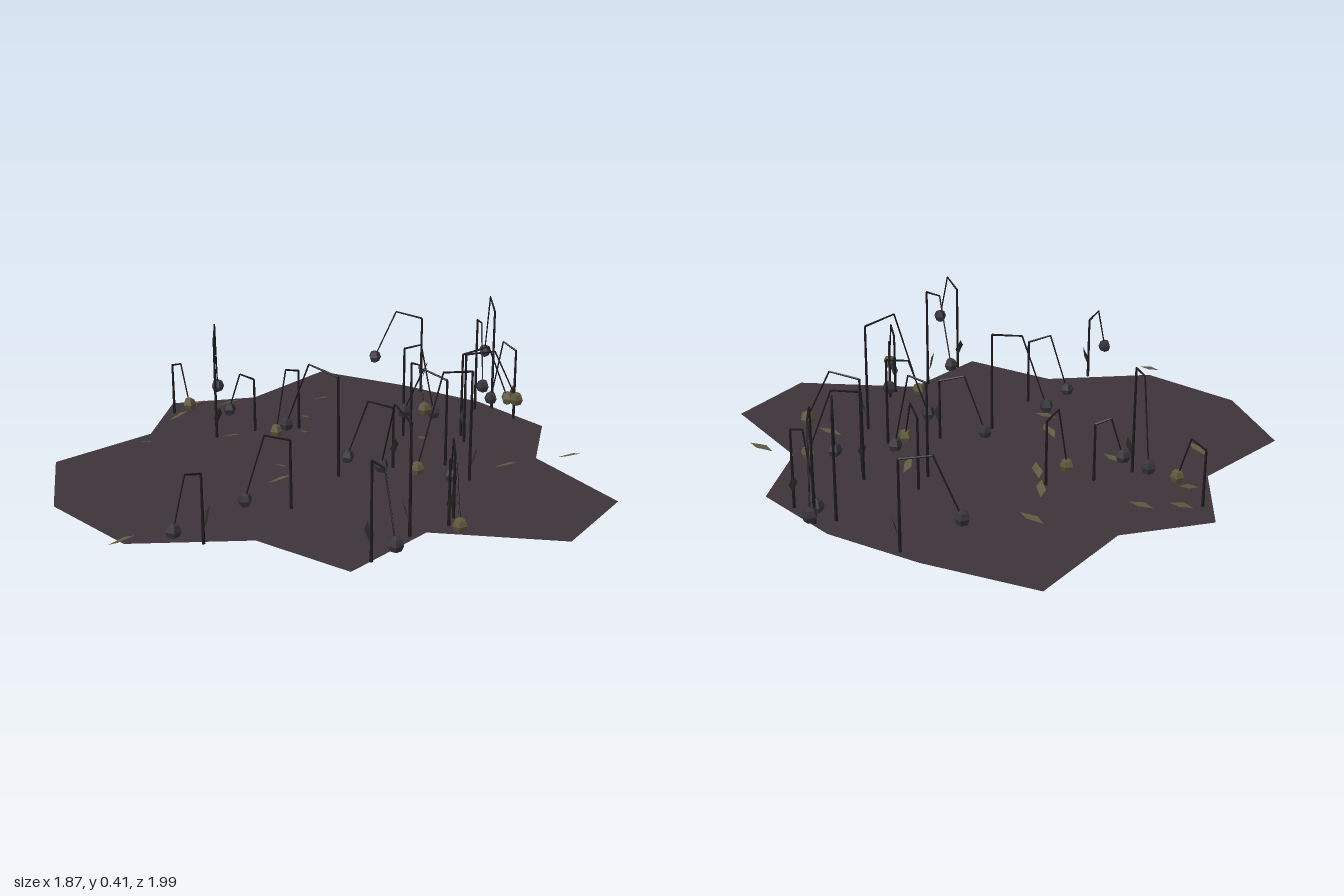
import * as THREE from 'three';

const mat = (name, color, extra = {}) => {
  const m = new THREE.MeshStandardMaterial({ color, flatShading: true, ...extra });
  m.name = name;
  return m;
};

// Outline of the soil patch as x, z pairs
const OUTLINE = [
  [-0.78, -0.68], [-0.4, -0.78], [-0.06, -0.825], [0.28, -0.77], [0.45, -0.49], [0.87, -0.36],
  [0.93, 0], [0.56, 0.25], [0.57, 0.61], [0.21, 0.65], [-0.07, 0.94], [-0.46, 0.915],
  [-0.77, 0.68], [-0.74, 0.275], [-0.935, 0], [-0.75, -0.265],
];

// Drooping plants: base x, z, stem height, bulb x, y, z
const DARK_PLANTS = [
  [0.02, -0.8, 0.39, -0.156, 0.155, -0.98],
  [0.15, -0.765, 0.27, 0.03, 0.05, -0.78],
  [-0.02, -0.746, 0.36, 0.113, 0.16, -0.614],
  [-0.31, -0.767, 0.305, -0.478, 0.132, -0.677],
  [-0.03, -0.33, 0.34, 0.07, 0.11, -0.38],
  [0.145, -0.07, 0.225, 0.013, 0.04, 0.02],
  [0.555, 0.11, 0.225, 0.463, 0.095, 0.01],
  [0.54, 0.308, 0.375, 0.34, 0.155, 0.215],
  [0.26, -0.215, 0.315, 0.08, 0.165, -0.203],
  [0.57, 0.52, 0.325, 0.752, 0.152, 0.623],
  [0.125, 0.41, 0.24, 0.03, 0.042, 0.525],
  [0.11, 0.775, 0.232, 0.12, 0.09, 0.9],
  [0.06, 0.115, 0.363, -0.166, 0.147, 0.137],
  [-0.53, 0.137, 0.375, -0.693, 0.125, -0.02],
  [-0.47, 0, 0.205, -0.54, 0.09, 0.062],
];
const OLIVE_PLANTS = [
  [0.12, -0.48, 0.315, 0.21, 0.13, -0.638],
  [0.168, -0.437, 0.335, 0.329, 0.183, -0.527],
  [-0.07, -0.42, 0.255, 0.06, 0.13, -0.34],
  [0.405, -0.165, 0.392, 0.357, 0.1, 0.055],
  [-0.37, -0.13, 0.23, -0.365, 0.03, -0.007],
  [0.58, 0.165, 0.225, 0.696, 0.07, 0.257],
  [-0.845, 0.07, 0.195, -0.737, 0.068, 0.085],
];

// Loose leaves: x, z, turn in degrees
const LEAVES = [
  [0.55, -0.545, 25], [-0.505, -0.38, 15], [0.45, -0.31, 30], [0.06, -0.33, -70],
  [-0.4, -0.195, -55], [-0.72, -0.095, 40], [-0.3, -0.085, -45], [-0.76, 0.12, 70],
  [-0.455, 0.14, 15], [-0.13, 0.205, -25], [-0.04, 0.3, 50], [-0.63, 0.39, -10],
  [-0.06, 0.955, 55], [-0.815, -0.01, 45],
];

export function createModel() {
  const model = new THREE.Group();
  const soil = mat('soil', 0x3e343b, { side: THREE.DoubleSide });
  const stemMat = mat('stem', 0x1c191c);
  const darkBulb = mat('dark bulb', 0x36343a);
  const oliveBulb = mat('olive bulb', 0x5e563c);
  const leafMat = mat('leaf', 0x5e5a40, { side: THREE.DoubleSide });
  const darkLeaf = mat('stem leaf', 0x2c2b26, { side: THREE.DoubleSide });

  const add = (parent, name, geo, material) => {
    const mesh = new THREE.Mesh(geo, material);
    mesh.name = name;
    parent.add(mesh);
    return mesh;
  };

  // Soil patch: a very low cone over the ragged outline
  const fan = [];
  OUTLINE.forEach(([x, z], i) => {
    const [nx, nz] = OUTLINE[(i + 1) % OUTLINE.length];
    fan.push(0, 0.008, 0, nx, 0, nz, x, 0, z);
  });
  const soilGeo = new THREE.BufferGeometry();
  soilGeo.setAttribute('position', new THREE.Float32BufferAttribute(fan, 3));
  soilGeo.computeVertexNormals();
  add(model, 'soilPatch', soilGeo, soil);

  // Skewed, slightly folded diamond leaf lying along x
  const leafGeo = new THREE.BufferGeometry();
  leafGeo.setAttribute('position', new THREE.Float32BufferAttribute([
    -0.042, -0.006, 0, -0.012, 0.003, 0.017, 0.042, 0.008, 0,
    -0.042, -0.006, 0, 0.042, 0.008, 0, 0.012, 0.003, -0.017], 3));
  leafGeo.computeVertexNormals();

  // Straight thin rod between two points
  const rod = (parent, name, a, b, r0, r1) => {
    const dir = b.clone().sub(a);
    const mesh = add(parent, name, new THREE.CylinderGeometry(r1, r0, dir.length(), 5), stemMat);
    mesh.position.copy(a).add(b).multiplyScalar(0.5);
    mesh.quaternion.setFromUnitVectors(new THREE.Vector3(0, 1, 0), dir.normalize());
  };

  const bulbGeo = new THREE.SphereGeometry(0.025, 5, 4);
  const plant = ([x, z, h, bx, by, bz], bulbMat, i) => {
    const g = new THREE.Group();
    g.name = 'droopingPlant';
    const base = new THREE.Vector3(x, 0, z);
    const top = new THREE.Vector3(x, h, z);
    const bulbPos = new THREE.Vector3(bx, by, bz);
    const kink = top.clone().lerp(bulbPos, 0.55).setY(h + 0.02);
    rod(g, 'stem', base, top, 0.0055, 0.004);
    rod(g, 'stemArm', top, kink, 0.004, 0.003);
    rod(g, 'hangingThread', kink, bulbPos, 0.003, 0.0025);
    const bulb = add(g, 'bulb', bulbGeo, bulbMat);
    bulb.position.copy(bulbPos);
    bulb.scale.y = 1.05;
    bulb.rotation.y = Math.atan2(bx - x, bz - z);
    // Small upright leaf low on every other stem
    if (i % 2) {
      const leaf = add(g, 'stemLeaf', leafGeo, darkLeaf);
      const turn = i * 2.4;
      leaf.rotation.set(0, turn, 1.1);
      leaf.scale.setScalar(0.85);
      leaf.position.set(x + 0.017 * Math.cos(turn), 0.09, z - 0.017 * Math.sin(turn));
    }
    model.add(g);
  };
  DARK_PLANTS.forEach((p, i) => plant(p, darkBulb, i));
  OLIVE_PLANTS.forEach((p, i) => plant(p, oliveBulb, i));

  // Scattered leaves just above the soil
  LEAVES.forEach(([x, z, deg], i) => {
    const leaf = add(model, 'fallenLeaf', leafGeo, leafMat);
    leaf.position.set(x, 0.02 + 0.004 * (i % 3), z);
    leaf.rotation.set(0, THREE.MathUtils.degToRad(deg), 0.12);
  });

  return model;
}
